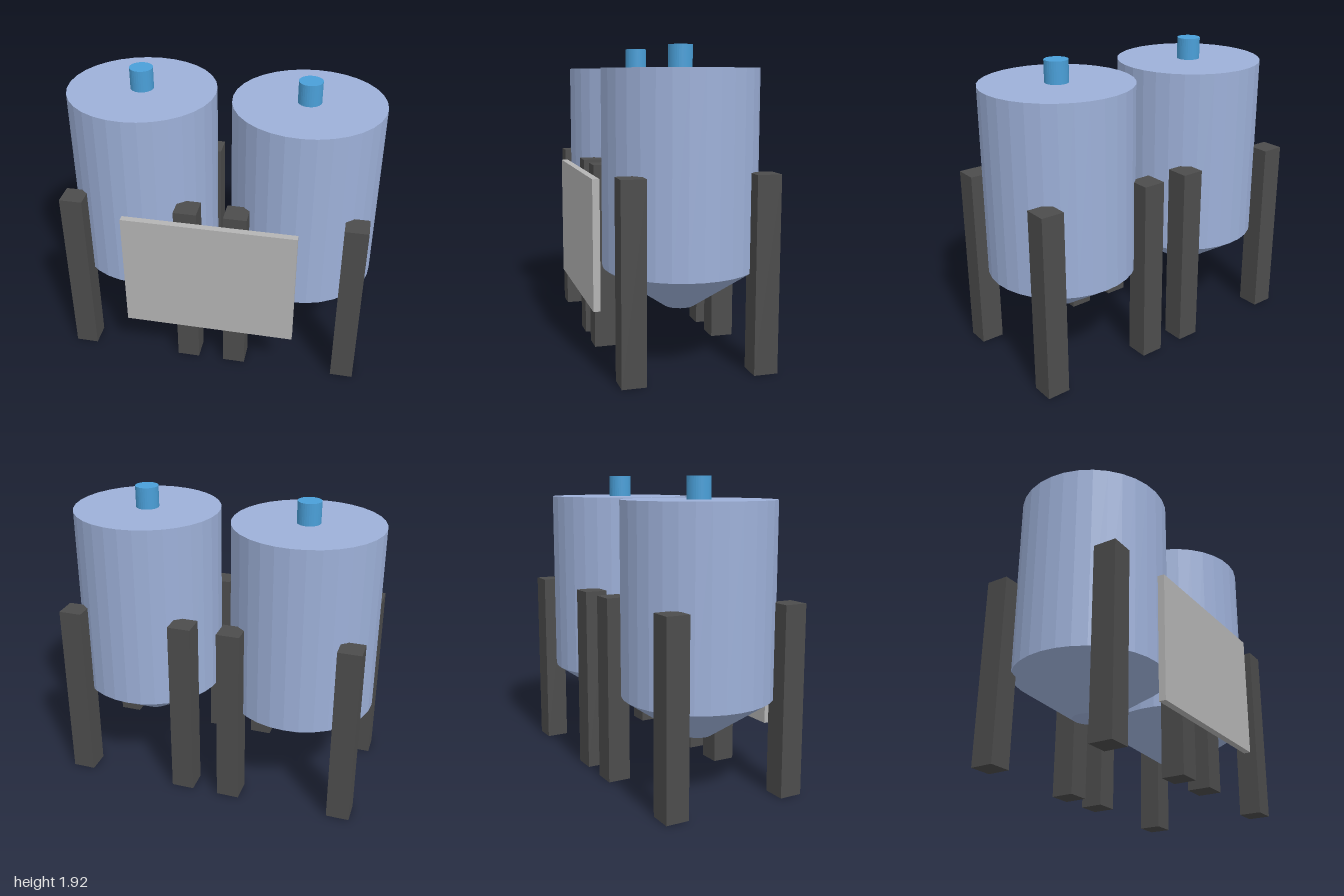
import * as THREE from 'three';

const material = (color) => new THREE.MeshStandardMaterial({ color, flatShading: true });

export function createModel() {
  const model = new THREE.Group();
  const tankMat = material(0x9db0d8);
  const capMat = material(0x4a9fd8);
  const legMat = material(0x4c4c4c);
  const panelMat = material(0xb4b4b4);
  const tankZ = -0.036;
  const frameX = -0.004; // legs and panel sit slightly off the tank axis

  const add = (parent, name, geometry, mat, x, y, z) => {
    const mesh = new THREE.Mesh(geometry, mat);
    mesh.name = name;
    mesh.position.set(x, y, z);
    parent.add(mesh);
  };
  // Upright round part spanning y0 to y1
  const round = (parent, name, rTop, rBottom, y0, y1, mat) =>
    add(parent, name, new THREE.CylinderGeometry(rTop, rBottom, y1 - y0, 32), mat, 0, (y0 + y1) / 2, 0);

  for (const side of [-1, 1]) {
    const silo = new THREE.Group();
    silo.name = side < 0 ? 'rightSilo' : 'leftSilo';
    silo.position.set(side * 0.527, 0, tankZ);

    // Tank, hopper cone and top inlet
    round(silo, 'tank', 0.473, 0.473, 0.59, 1.784, tankMat);
    round(silo, 'hopper', 0.473, 0.097, 0.337, 0.59, tankMat);
    round(silo, 'inlet', 0.074, 0.074, 1.784, 1.922, capMat);

    // Four square legs
    for (const sx of [-1, 1]) {
      for (const sz of [-1, 1]) {
        add(silo, 'leg', new THREE.BoxGeometry(0.147, 1.184, 0.147), legMat,
          frameX + sx * 0.369, 0.592, sz * 0.398);
      }
    }
    model.add(silo);
  }

  // Front panel
  add(model, 'frontPanel', new THREE.BoxGeometry(1.106, 0.804, 0.044), panelMat, frameX, 0.736, 0.486);
  return model;
}
